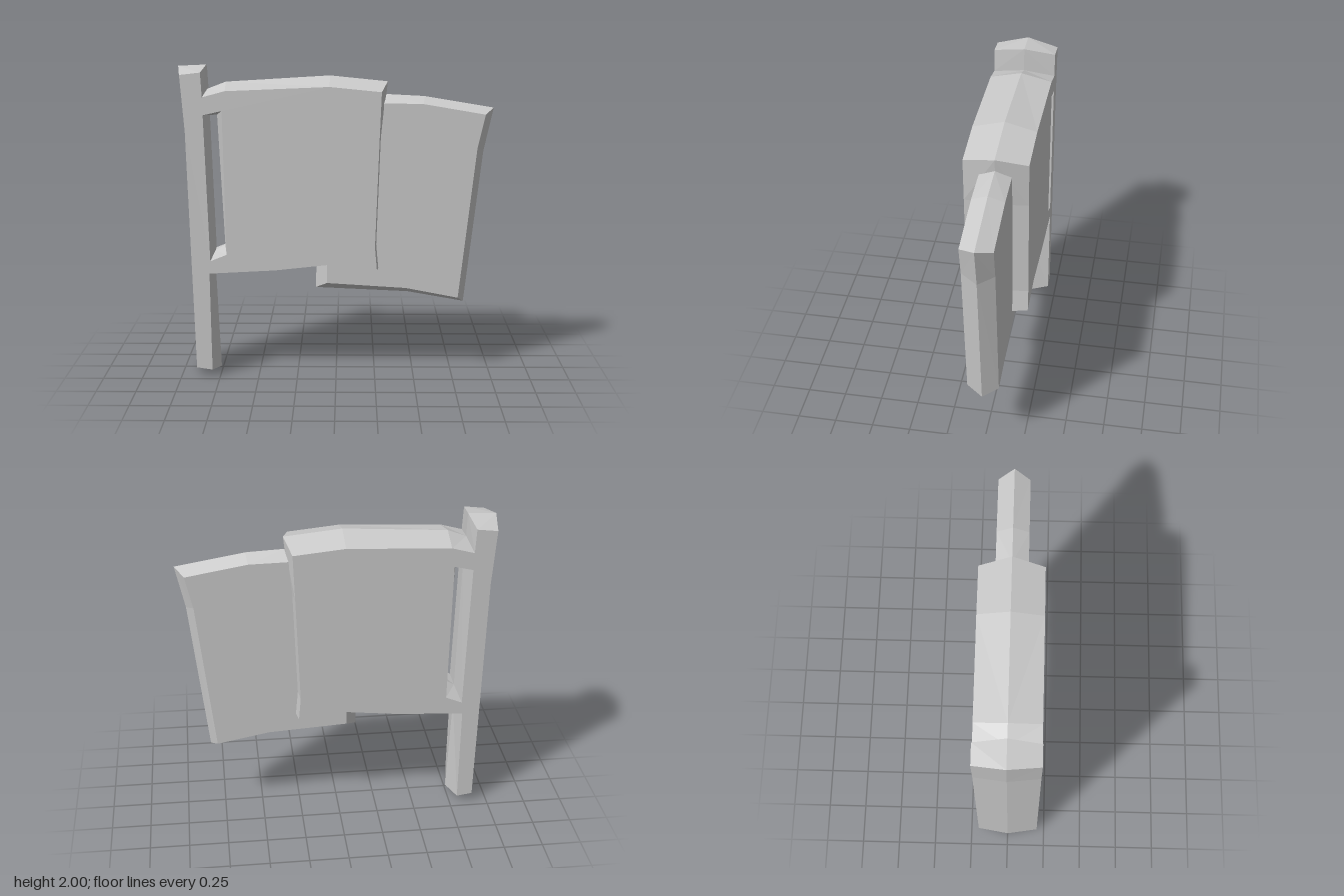
import * as THREE from 'three';

// Each outline point is [face x, face y, middle x, middle y].
// Outlines run counter-clockwise, holes clockwise.
const POLE_AND_CLOTH = [
  [-0.90, 0.06, -0.92, 0.00], [-0.80, 0.045, -0.76, 0.005], // pole foot
  [-0.807, 0.686, -0.786, 0.662], [-0.39, 0.708, -0.39, 0.68], // lower hem
  [0.00, 0.75, 0.00, 0.72], [0.26, 0.71, 0.283, 0.69],
  [0.247, 0.86, 0.267, 0.86], [0.272, 1.55, 0.292, 1.55], // free edge
  [0.284, 1.845, 0.326, 1.893], [-0.04, 1.877, -0.04, 1.93], // upper hem
  [-0.69, 1.85, -0.70, 1.89], [-0.832, 1.812, -0.818, 1.845],
  [-0.84, 1.965, -0.822, 1.998], [-0.97, 1.95, -1.00, 1.99], // pole top
  [-0.943, 1.60, -0.966, 1.60],
];
const SLOT = [
  [-0.829, 1.70, -0.807, 1.68], [-0.711, 1.727, -0.76, 1.68],
  [-0.695, 0.81, -0.722, 0.83], [-0.80, 0.767, -0.786, 0.794],
];
const REAR_CLOTH = [
  [-0.06, 0.60, -0.134, 0.547], [0.45, 0.568, 0.465, 0.52],
  [0.786, 0.504, 0.829, 0.456], [0.893, 1.485, 0.94, 1.45],
  [0.94, 1.694, 1.00, 1.727], [0.55, 1.76, 0.56, 1.80],
  [0.305, 1.765, 0.326, 1.812], [-0.06, 1.74, -0.10, 1.78],
];

// Slab whose rim is ridged along z = 0, mirrored front to back
function ridgedSlab(outline, holes, half) {
  const positions = [];
  const addTriangle = (a, b, c) => {
    positions.push(...a, ...b, ...c);
    for (const [x, y, z] of [a, c, b]) positions.push(x, y, -z);
  };
  const face = (p) => [p[0], p[1], half];
  const ridge = (p) => [p[2], p[3], 0];
  const flat = (loop) => loop.map((p) => new THREE.Vector2(p[0], p[1]));

  // Flat faces
  const all = [outline, ...holes].flat();
  const triangles = THREE.ShapeUtils.triangulateShape(flat(outline), holes.map(flat));
  for (const [a, b, c] of triangles) addTriangle(face(all[a]), face(all[b]), face(all[c]));

  // Sloped rims
  for (const loop of [outline, ...holes]) {
    loop.forEach((p, i) => {
      const q = loop[(i + 1) % loop.length];
      addTriangle(face(p), ridge(p), ridge(q));
      addTriangle(face(p), ridge(q), face(q));
    });
  }
  const geometry = new THREE.BufferGeometry();
  geometry.setAttribute('position', new THREE.Float32BufferAttribute(positions, 3));
  geometry.computeVertexNormals();
  return geometry;
}

export function createModel() {
  const group = new THREE.Group();
  group.name = 'flag';
  const material = new THREE.MeshStandardMaterial({ color: 0xcccccc, flatShading: true });
  const add = (name, geometry) => {
    const mesh = new THREE.Mesh(geometry, material);
    mesh.name = name;
    group.add(mesh);
  };
  add('poleAndFrontCloth', ridgedSlab(POLE_AND_CLOTH, [SLOT], 0.2));
  add('rearCloth', ridgedSlab(REAR_CLOTH, [], 0.1));
  return group;
}
